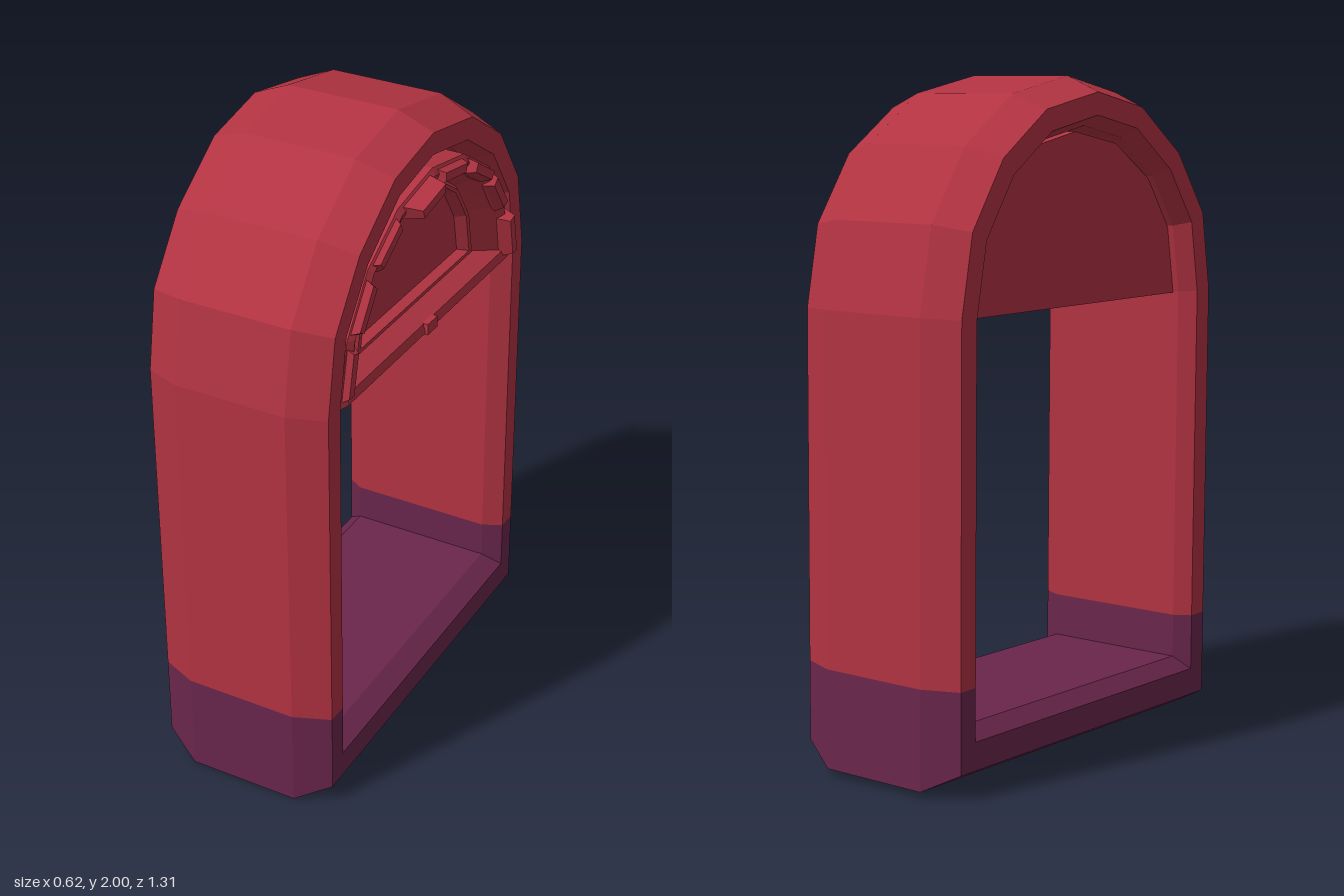
import * as THREE from 'three';

const red = new THREE.MeshStandardMaterial({ color: 0xb23342, flatShading: true });
red.name = 'brickRed';
const purple = new THREE.MeshStandardMaterial({ color: 0x6a264c, flatShading: true });
purple.name = 'plumBase';

// Skin a list of rings; every ring is a list of [x, y, z] points.
function loft(rings, { closed = true, capStart = false, capEnd = false } = {}) {
  const n = rings[0].length;
  const pos = [];
  const tri = (a, b, c) => pos.push(...a, ...b, ...c);
  for (let s = 0; s < rings.length - 1; s++) {
    for (let i = 0; i < (closed ? n : n - 1); i++) {
      const j = (i + 1) % n;
      const a = rings[s][i], b = rings[s][j], c = rings[s + 1][j], d = rings[s + 1][i];
      tri(a, b, c);
      tri(a, c, d);
    }
  }
  const first = rings[0], last = rings[rings.length - 1];
  for (let i = 1; i < n - 1; i++) {
    if (capStart) tri(first[0], first[i + 1], first[i]);
    if (capEnd) tri(last[0], last[i], last[i + 1]);
  }
  const g = new THREE.BufferGeometry();
  g.setAttribute('position', new THREE.Float32BufferAttribute(pos, 3));
  g.computeVertexNormals();
  return g;
}

// Half-round outline in the zy plane, from -z over the top to +z.
const arcPoint = (x, rz, y0, ry, k) => {
  const t = (k / 8) * Math.PI;
  return [x, y0 + ry * Math.sin(t), -rz * Math.cos(t) + 0.005];
};
const arc = (x, rz, y0, ry) => Array.from({ length: 9 }, (_, k) => arcPoint(x, rz, y0, ry, k));

// Outer outline of the doorway as [z, y]
const outline = [
  [-0.656, 0.02], [-0.654, 0.315], [-0.645, 1.35], [-0.595, 1.6], [-0.45, 1.81],
  [-0.24, 1.95], [0.02, 2.0], [0.26, 1.95], [0.47, 1.8], [0.615, 1.6],
  [0.656, 1.35], [0.647, 0.315], [0.645, 0.0],
];

// Move the outline inward by d with mitred corners.
function inset(d, x) {
  const n = outline.length;
  return outline.map((p, i) => {
    const normal = (a, b) => new THREE.Vector2(b[1] - a[1], a[0] - b[0]).normalize();
    const n1 = normal(outline[(i + n - 1) % n], p);
    const n2 = normal(p, outline[(i + 1) % n]);
    const m = n1.clone().add(n2).multiplyScalar(d / (1 + n1.dot(n2)));
    const floorLift = i === 0 || i === n - 1 ? d * 0.28 : 0;
    const y = i === 1 || i === n - 2 ? p[1] : p[1] + m.y + floorLift;
    return [x, y, p[0] + m.x];
  });
}

export function createModel() {
  const model = new THREE.Group();
  model.name = 'archedDoorway';
  const add = (name, geometry, material) => {
    const mesh = new THREE.Mesh(geometry, material);
    mesh.name = name;
    model.add(mesh);
    return mesh;
  };

  // Bevelled frame: cross-section as [inset, x], closed back onto its start
  const section = [
    [0, -0.2], [0, 0.15], [0.045, 0.26], [0.11, 0.26], [0.14, 0.2],
    [0.14, -0.26], [0.11, -0.31], [0.045, -0.31], [0, -0.2],
  ];
  const rings = section.map(([d, x]) => inset(d, x));
  add('archFrame', loft(rings.map((r) => r.slice(1, 12)), { closed: false }), red);
  add('frameBase', loft(rings.map((r) => [r[11], r[12], r[0], r[1]]), { closed: false }), purple);

  // Solid panel filling the arch, with a sloped surround and sunken half-moon
  add('archPanel', loft([
    arc(-0.24, 0.525, 1.335, 0.505),
    arc(0.25, 0.525, 1.335, 0.505),
    arc(0.262, 0.5, 1.34, 0.48),
    arc(0.255, 0.48, 1.368, 0.43),
    arc(0.195, 0.37, 1.4, 0.37),
    arc(0.21, 0.355, 1.408, 0.352),
    arc(0.21, 0.335, 1.42, 0.33),
    arc(0.18, 0.312, 1.428, 0.31),
  ], { capStart: true, capEnd: true }), red);

  // Uneven stones around the arch, one on each facet
  const stones = new THREE.Group();
  stones.name = 'archStones';
  const reach = [0.288, 0.275, 0.285, 0.28, 0.31, 0.272, 0.275, 0.27];
  reach.forEach((front, k) => {
    const quad = (x, outer, inner, gap) => {
      const at = (f, t) => {
        const a = arcPoint(x, 0.525 * f, 1.335, 0.5 * f, k);
        const b = arcPoint(x, 0.525 * f, 1.335, 0.5 * f, k + 1);
        return a.map((v, i) => v + (b[i] - v) * t);
      };
      return [at(outer, gap), at(outer, 1 - gap), at(inner, 1 - gap), at(inner, gap)];
    };
    const geometry = loft(
      [quad(0.2, 0.995, 0.9, 0.1), quad(0.25, 0.995, 0.9, 0.1), quad(front, 0.98, 0.925, 0.16)],
      { capStart: true, capEnd: true });
    const stone = new THREE.Mesh(geometry, red);
    stone.name = 'archStone';
    stones.add(stone);
  });
  model.add(stones);

  // Small block in the middle of the sill
  add('sillBlock', new THREE.BoxGeometry(0.04, 0.035, 0.06), red).position.set(0.25, 1.353, 0.02);

  return model;
}
